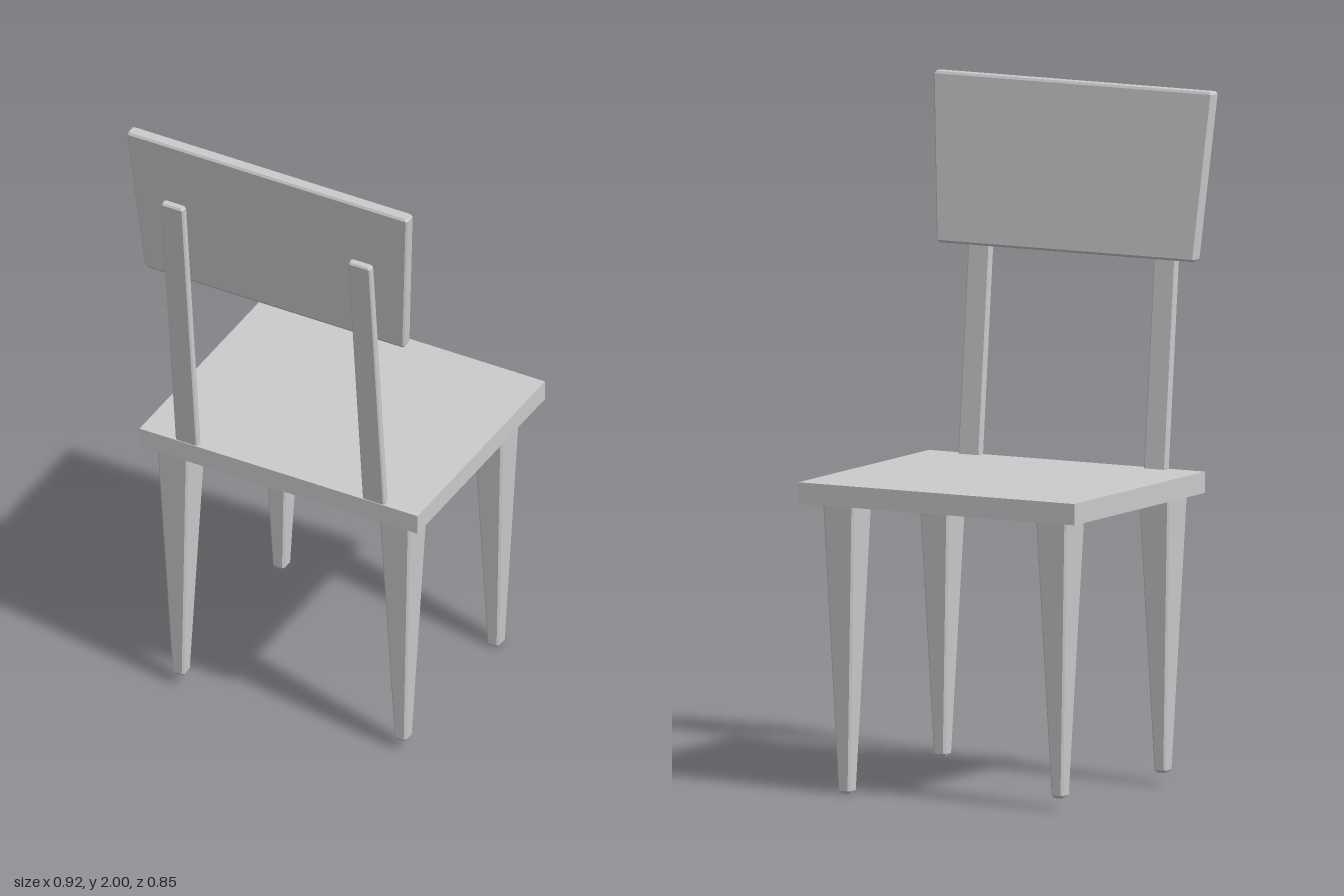
import * as THREE from 'three';

const material = new THREE.MeshStandardMaterial({ color: 0xcccccc, flatShading: true });

// Rectangle with clipped corners, counter-clockwise seen from above
function section({ y, x, z, w, d }, c, inset = 0, dy = 0) {
  const a = w / 2 - inset, b = d / 2 - inset, k = c * 0.7;
  return [[a, b - k], [a, k - b], [a - k, -b], [k - a, -b], [-a, k - b], [-a, b - k], [k - a, b], [a - k, b]]
    .map(([px, pz]) => [x + px, y + dy, z + pz]);
}

// Bar lofted between a bottom and a top section, all its edges softened by c
function bar(name, bottom, top, c) {
  const rings = [section(bottom, c, c * 0.6), section(bottom, c, 0, c), section(top, c, 0, -c), section(top, c, c * 0.6)];
  const n = 8, points = rings.flat(2), index = [];
  for (let r = 0; r < rings.length - 1; r++) {
    for (let i = 0; i < n; i++) {
      const j = (i + 1) % n, a = r * n + i, b = r * n + j;
      index.push(a, b, b + n, a, b + n, a + n);
    }
  }
  const last = (rings.length - 1) * n;
  for (let i = 1; i < n - 1; i++) {
    index.push(0, i + 1, i, last, last + i, last + i + 1);
  }
  const indexed = new THREE.BufferGeometry();
  indexed.setAttribute('position', new THREE.Float32BufferAttribute(points, 3));
  indexed.setIndex(index);
  const geometry = indexed.toNonIndexed();
  geometry.computeVertexNormals();
  const mesh = new THREE.Mesh(geometry, material);
  mesh.name = name;
  return mesh;
}

export function createModel() {
  const chair = new THREE.Group();
  chair.name = 'chair';

  // Seat slab
  const seat = new THREE.Mesh(new THREE.BoxGeometry(0.911, 0.062, 0.765), material);
  seat.name = 'seat';
  seat.position.set(-0.006, 0.874, -0.0425);
  chair.add(seat);

  // Tapered legs, slightly uneven in place and length
  const legs = [
    ['backrestLegLeft', 0.351, 0.245, 0.035],
    ['backrestLegRight', -0.366, 0.264, 0.035],
    ['farLegLeft', 0.337, -0.338, 0],
    ['farLegRight', -0.366, -0.338, 0.035],
  ];
  for (const [name, x, z, y] of legs) {
    chair.add(bar(name, { y, x, z, w: 0.038, d: 0.044 }, { y: 0.86, x, z, w: 0.102, d: 0.112 }, 0.008));
  }

  // Leaning posts
  for (const [name, x] of [['postLeft', 0.303], ['postRight', -0.31]]) {
    chair.add(bar(name, { y: 0.88, x, z: 0.323, w: 0.072, d: 0.025 }, { y: 1.79, x, z: 0.412, w: 0.072, d: 0.025 }, 0.006));
  }

  // Leaning backrest board, wider at the top
  chair.add(bar('backrest',
    { y: 1.51, x: 0, z: 0.358, w: 0.85, d: 0.039 },
    { y: 2, x: 0, z: 0.403, w: 0.92, d: 0.039 }, 0.007));

  return chair;
}
